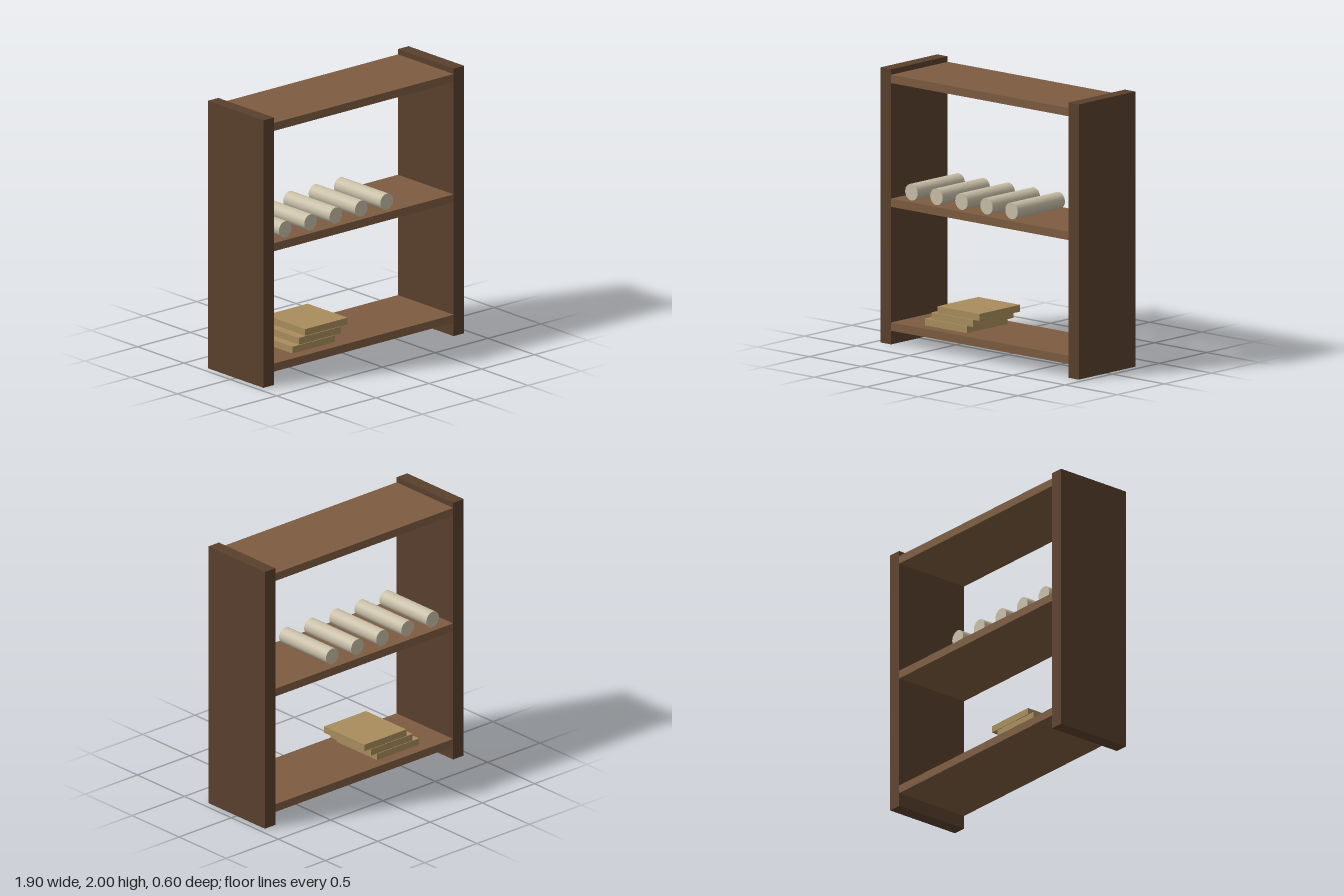
import * as THREE from 'three';

const material = (color) => new THREE.MeshStandardMaterial({ color });

export function createModel() {
  const model = new THREE.Group();
  model.name = 'bookshelf';
  const darkWood = material(0x5a402d);
  const wood = material(0x7d5c40);
  const paper = material(0xc9bfa8);
  const cover = material(0xa88d5c);

  const add = (name, geometry, mat, x, y, z = 0) => {
    const mesh = new THREE.Mesh(geometry, mat);
    mesh.name = name;
    mesh.position.set(x, y, z);
    model.add(mesh);
    return mesh;
  };

  // Upright side panels
  const panel = new THREE.BoxGeometry(0.1, 2, 0.6);
  add('leftPanel', panel, darkWood, 0.9, 1);
  add('rightPanel', panel, darkWood, -0.9, 1);

  // Shelves between the panels
  const shelf = new THREE.BoxGeometry(1.7, 0.06, 0.6);
  ['bottomShelf', 'middleShelf', 'topShelf'].forEach((name, i) =>
    add(name, shelf, wood, 0, 0.13 + i * 0.9));

  // Row of scrolls lying front to back on the middle shelf
  const scroll = new THREE.CylinderGeometry(0.06, 0.06, 0.5, 32).rotateX(Math.PI / 2);
  for (let i = 0; i < 5; i++) add(`scroll${i + 1}`, scroll, paper, -0.7 + i * 0.24, 1.12);

  // Staggered stack of books on the bottom shelf
  const book = new THREE.BoxGeometry(0.4, 0.05, 0.43);
  for (let i = 0; i < 3; i++) add(`book${i + 1}`, book, cover, -0.4 + i * 0.06, 0.186 + i * 0.053);

  return model;
}
